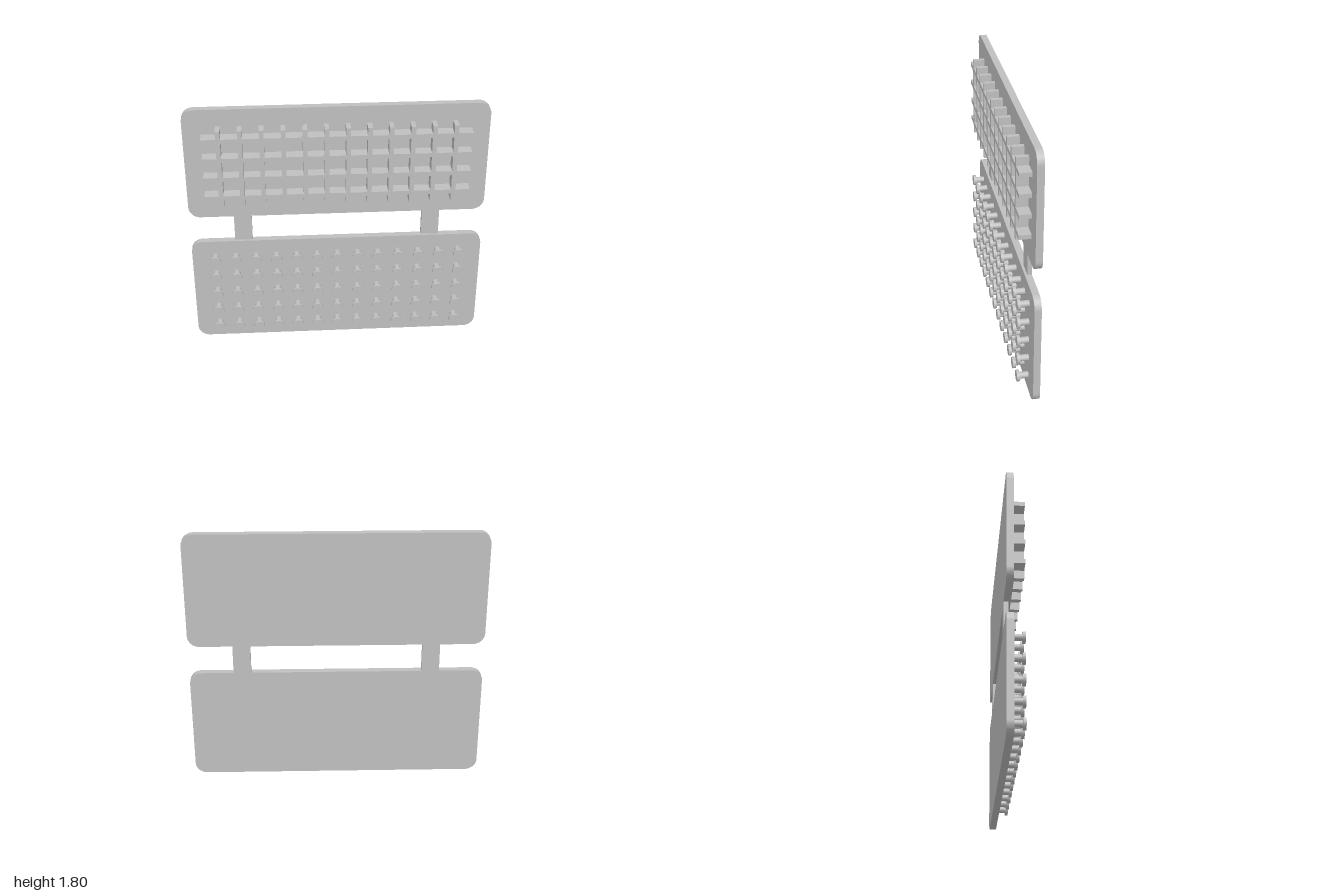
import * as THREE from 'three';

const BACK = -0.0625, FACE = -0.0165, FRONT = 0.0625, PITCH = 0.14;

// Flat plate with rounded corners, standing from y0 to y0 + 0.8
function plateGeometry(y0) {
  const r = 0.08, y1 = y0 + 0.8;
  const s = new THREE.Shape();
  s.moveTo(-1 + r, y0);
  s.lineTo(1 - r, y0);
  s.absarc(1 - r, y0 + r, r, -Math.PI / 2, 0);
  s.lineTo(1, y1 - r);
  s.absarc(1 - r, y1 - r, r, 0, Math.PI / 2);
  s.lineTo(-1 + r, y1);
  s.absarc(-1 + r, y1 - r, r, Math.PI / 2, Math.PI);
  s.lineTo(-1, y0 + r);
  s.absarc(-1 + r, y0 + r, r, Math.PI, Math.PI * 1.5);
  return new THREE.ExtrudeGeometry(s, { depth: FACE - BACK, bevelEnabled: false, curveSegments: 10 })
    .translate(0, 0, BACK);
}

export function createModel() {
  const model = new THREE.Group();
  model.name = 'gridAndPegBoard';
  const grey = new THREE.MeshStandardMaterial({ color: 0xbfbfbf });
  grey.name = 'grey';

  const add = (parent, name, geometry, x = 0, y = 0, z = 0) => {
    const mesh = new THREE.Mesh(geometry, grey);
    mesh.name = name;
    mesh.position.set(x, y, z);
    parent.add(mesh);
  };
  const group = (name) => {
    const g = new THREE.Group();
    g.name = name;
    model.add(g);
    return g;
  };

  // Two plates
  add(model, 'lowerPlate', plateGeometry(0));
  add(model, 'upperPlate', plateGeometry(1));

  // Hinge straps joining the plates, flush with the back
  const strap = new THREE.BoxGeometry(0.12, 0.2, 0.03);
  add(model, 'leftStrap', strap, 0.64, 0.9, BACK + 0.015);
  add(model, 'rightStrap', strap, -0.64, 0.9, BACK + 0.015);

  // Lattice of crossing ribs on the upper plate
  const lattice = group('lattice');
  const depth = FRONT - FACE, midZ = (FRONT + FACE) / 2;
  const rail = new THREE.BoxGeometry(1.76, 0.03, depth);
  const rib = new THREE.BoxGeometry(0.03, 0.56, depth);
  for (let i = 0; i < 4; i++) add(lattice, 'horizontalRib', rail, 0, 1.19 + i * PITCH, midZ);
  for (let i = 0; i < 12; i++) add(lattice, 'verticalRib', rib, (i - 5.5) * PITCH, 1.4, midZ);

  // Rows of headed pegs on the lower plate
  const pegs = group('pegs');
  const headDepth = 0.02, stemDepth = FRONT - headDepth - FACE;
  const stem = new THREE.CylinderGeometry(0.022, 0.022, stemDepth, 20).rotateX(Math.PI / 2);
  const head = new THREE.CylinderGeometry(0.038, 0.038, headDepth, 24).rotateX(Math.PI / 2);
  for (let row = 0; row < 5; row++) {
    for (let col = 0; col < 13; col++) {
      const x = (col - 6) * PITCH, y = 0.12 + row * PITCH;
      add(pegs, 'pegStem', stem, x, y, FACE + stemDepth / 2);
      add(pegs, 'pegHead', head, x, y, FRONT - headDepth / 2);
    }
  }
  return model;
}
